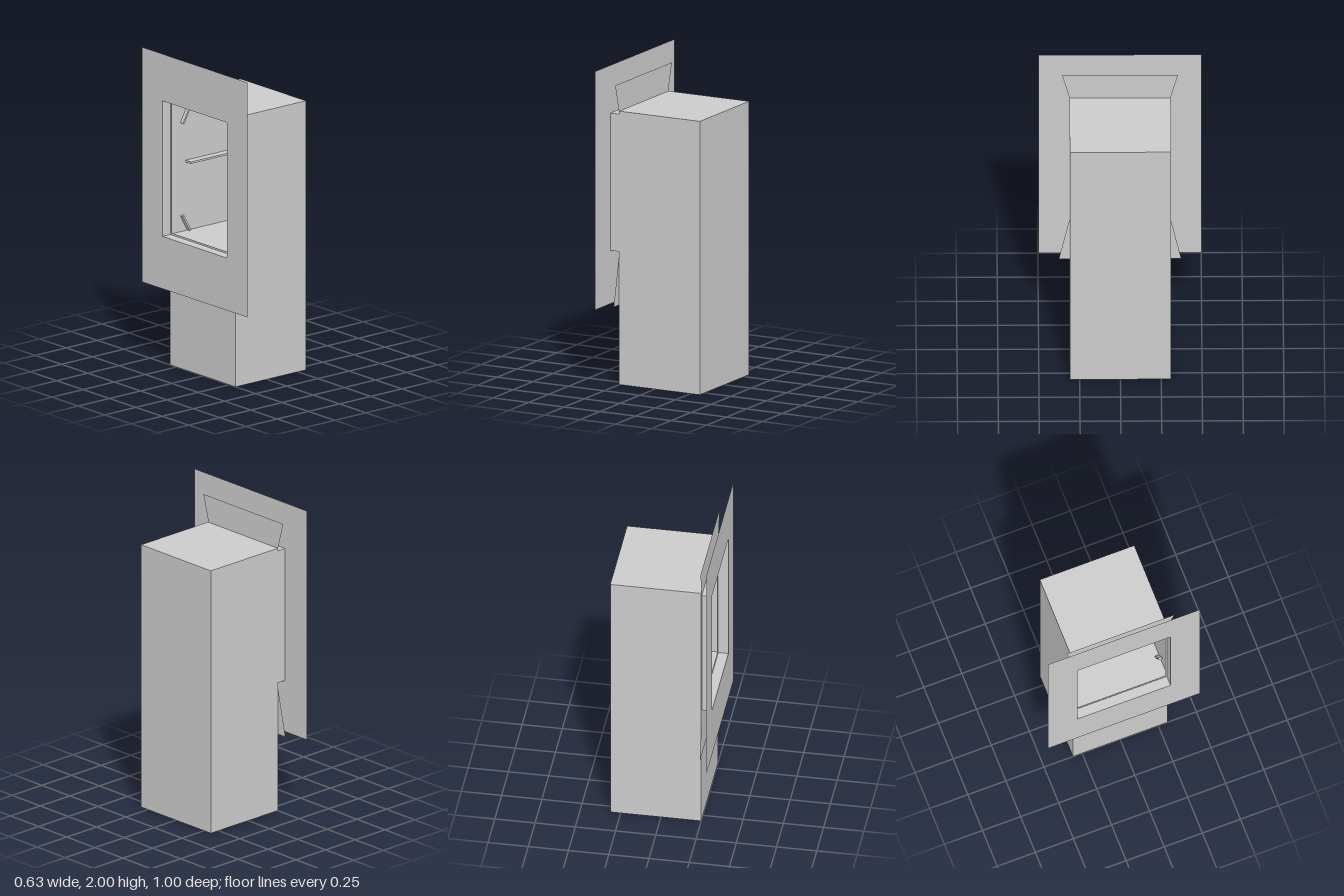
import * as THREE from 'three';

const material = new THREE.MeshStandardMaterial({ color: 0xcccccc, flatShading: true, side: THREE.DoubleSide });

// Flat plate facing -x; points are [z, y] pairs, with an optional hole
function plate(name, x, outline, hole) {
  const toVectors = (pts) => pts.map(([z, y]) => new THREE.Vector2(z, y));
  const shape = new THREE.Shape(toVectors(outline));
  if (hole) shape.holes.push(new THREE.Path(toVectors(hole)));
  const mesh = new THREE.Mesh(new THREE.ShapeGeometry(shape).rotateY(-Math.PI / 2), material);
  mesh.position.x = x;
  mesh.name = name;
  return mesh;
}

const rect = (z, y0, y1) => [[-z, y0], [z, y0], [z, y1], [-z, y1]];

// Sheet lying level (axis 'y') or upright facing front or back (axis 'z')
function sheet(name, axis, at, x0, x1, a0, a1) {
  const geometry = new THREE.PlaneGeometry(x1 - x0, a1 - a0);
  if (axis === 'y') geometry.rotateX(-Math.PI / 2);
  const mesh = new THREE.Mesh(geometry, material);
  const mid = (a0 + a1) / 2;
  mesh.position.set((x0 + x1) / 2, axis === 'y' ? at : mid, axis === 'y' ? mid : at);
  mesh.name = name;
  return mesh;
}

// Slim bar along a chamber side wall, between two [x, y] points
function bar(name, [xa, ya], [xb, yb], z, depth) {
  const length = Math.hypot(xb - xa, yb - ya);
  const mesh = new THREE.Mesh(new THREE.BoxGeometry(length, 0.012, depth), material);
  mesh.position.set((xa + xb) / 2, (ya + yb) / 2, z);
  mesh.rotation.z = Math.atan2(yb - ya, xb - xa);
  mesh.name = name;
  return mesh;
}

export function createModel() {
  const model = new THREE.Group();
  const wallX = -0.25, backX = 0.315, panelX = -0.315;
  const halfZ = 0.31, top = 1.72;

  // Tall casing, open underneath, with an opening towards -x
  const casing = new THREE.Group();
  casing.name = 'casing';
  casing.add(
    plate('openingWall', wallX, rect(halfZ, 0, top), rect(0.295, 0.845, 1.69)),
    plate('closedWall', backX, rect(halfZ, 0, top)),
    sheet('casingTop', 'y', top, wallX, backX, -halfZ, halfZ),
    sheet('chamberFloor', 'y', 0.835, wallX, backX, -halfZ, halfZ),
  );
  for (const s of [-1, 1]) casing.add(sheet('sideWall', 'z', s * halfZ, wallX, backX, 0, top));
  model.add(casing);

  // Short frame joining the casing to the wall panel
  const frame = new THREE.Group();
  frame.name = 'openingFrame';
  for (const s of [-1, 1]) frame.add(sheet('frameSide', 'z', s * 0.305, panelX, wallX, 0.835, 1.7));
  for (const y of [0.835, 1.7]) frame.add(sheet('frameLedge', 'y', y, panelX, wallX, -0.305, 0.305));
  model.add(frame);

  // Wide wall panel with the opening cut out
  model.add(plate('wallPanel', panelX, rect(0.5, 0.5, 2), rect(0.305, 0.835, 1.7)));

  // Flared backing plate just outside the casing wall
  model.add(plate('backingPlate', wallX - 0.003,
    [[-0.375, 0.5], [0.375, 0.5], [0.31, 0.8], [0.31, 1.72], [0.355, 1.89], [-0.355, 1.89], [-0.31, 1.72], [-0.31, 0.8]],
    rect(0.3, 0.84, 1.695)));

  // Rails and slanted struts on both chamber side walls
  for (const s of [-1, 1]) {
    model.add(
      bar('rail', [-0.13, 1.28], [0.3, 1.28], s * 0.28, 0.05),
      bar('lowerStrut', [-0.165, 0.94], [-0.11, 0.84], s * 0.295, 0.025),
      bar('upperStrut', [-0.165, 1.53], [-0.11, 1.63], s * 0.295, 0.025),
    );
  }
  return model;
}
